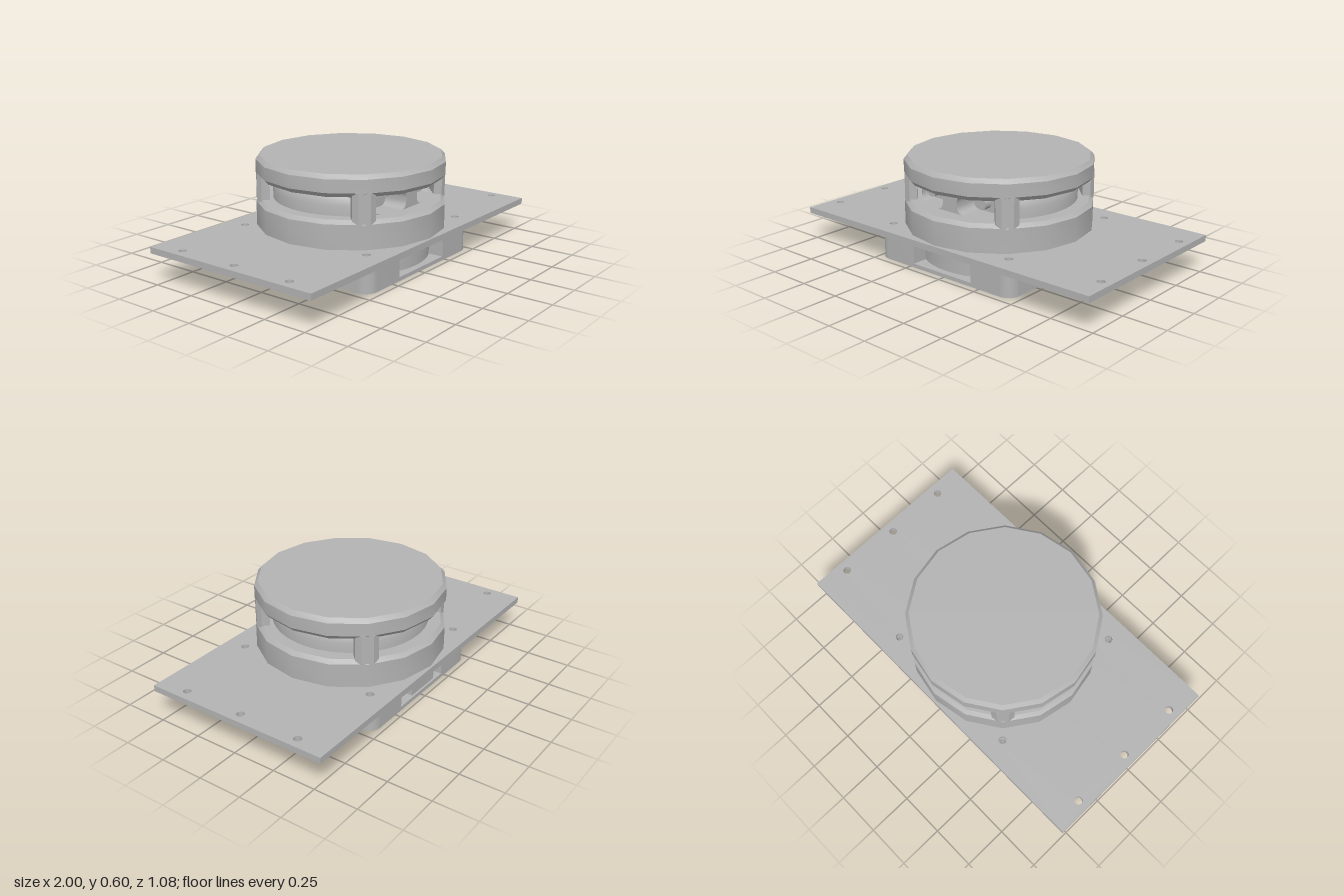
import * as THREE from 'three';
import { toCreasedNormals } from 'three/addons/utils/BufferGeometryUtils.js';

export function createModel() {
  const model = new THREE.Group();
  const grey = new THREE.MeshStandardMaterial({ color: 0xb3b3b3, side: THREE.DoubleSide });
  grey.name = 'plain grey';

  const add = (name, geometry, x = 0, y = 0, z = 0, crease = 0.5) => {
    const mesh = new THREE.Mesh(toCreasedNormals(geometry, crease), grey);
    mesh.name = name;
    mesh.position.set(x, y, z);
    model.add(mesh);
    return mesh;
  };
  const lathe = (pts, segments, start = 0, length = Math.PI * 2) =>
    new THREE.LatheGeometry(pts.map(p => new THREE.Vector2(...p)), segments, start, length);
  // Extrudes a plan shape upwards
  const slab = (shape, height) => new THREE.ExtrudeGeometry(shape,
    { depth: height, bevelEnabled: false, curveSegments: 10 }).rotateX(-Math.PI / 2);
  const hole = (x, y, r) => new THREE.Path().absarc(x, y, r, 0, Math.PI * 2, true);
  const polygon = pts => new THREE.Shape(pts.map(p => new THREE.Vector2(...p)));
  const signs = [[1, 1], [1, -1], [-1, -1], [-1, 1]];

  // Mounting plate with ten screw holes
  const plate = polygon([[-1, -0.54], [1, -0.54], [1, 0.54], [-1, 0.54]]);
  for (const s of [-1, 1]) {
    for (const z of [-0.36, 0, 0.36]) plate.holes.push(hole(s * 0.94, z, 0.022));
    for (const z of [-0.42, 0.42]) plate.holes.push(hole(s * 0.42, z, 0.022));
  }
  add('mountingPlate', slab(plate, 0.035), 0, 0.165);

  // Rounded square floor of the base
  const h = 0.477, r = 0.07;
  const floor = new THREE.Shape();
  floor.absarc(h - r, h - r, r, 0, Math.PI / 2);
  floor.absarc(r - h, h - r, r, Math.PI / 2, Math.PI);
  floor.absarc(r - h, r - h, r, Math.PI, Math.PI * 1.5);
  floor.absarc(h - r, r - h, r, Math.PI * 1.5, Math.PI * 2);
  floor.closePath();
  for (const [a, b] of signs) floor.holes.push(hole(a * 0.42, b * 0.42, 0.018));
  add('baseFloor', slab(floor, 0.022), 0, 0.008);

  // Corner blocks of the base
  const corner = new THREE.Shape();
  corner.moveTo(0.207, 0.207);
  corner.lineTo(h, 0.207);
  corner.absarc(h - r, h - r, r, 0, Math.PI / 2);
  corner.lineTo(0.207, h);
  corner.closePath();
  corner.holes.push(hole(0.42, 0.42, 0.018));
  for (let i = 0; i < 4; i++) {
    add('baseCorner', slab(corner, 0.135), 0, 0.03).rotation.y = i * Math.PI / 2;
  }

  // Round drum between the corner blocks and the rear socket
  add('baseDrum', new THREE.CylinderGeometry(0.44, 0.44, 0.135, 48), 0, 0.0975);
  add('rearSocket', new THREE.BoxGeometry(0.22, 0.075, 0.12), -0.03, 0.0675, -0.405);

  // Ring shaped feet
  for (const [a, b] of signs) {
    add('foot', lathe([[0.016, 0.01], [0.016, 0], [0.036, 0], [0.036, 0.01]], 20), a * 0.25, 0, b * 0.25);
  }

  // Sixteen sided housing: lower ring and cap
  add('lowerHousing', lathe([[0, 0.2], [0.527, 0.2], [0.527, 0.335], [0.505, 0.355], [0, 0.355]], 16));
  add('topCap', lathe([[0, 0.475], [0.505, 0.475], [0.527, 0.5], [0.527, 0.572], [0.506, 0.595], [0, 0.595]], 16));

  // Chamfered pillars on the diagonals, flaring into the rings
  const section = polygon([[-0.062, 0.455], [0.062, 0.455], [0.062, 0.5], [0.032, 0.524],
    [-0.032, 0.524], [-0.062, 0.5]]);
  for (let i = 0; i < 4; i++) {
    add('pillar', slab(section, 0.165), 0, 0.335).rotation.y = (i + 0.5) * Math.PI / 2;
  }

  // Sensor drum, open towards the front
  const gap = Math.atan2(0.338, 0.268);
  add('sensorDrum', lathe([[0.433, 0.335], [0.433, 0.41], [0.422, 0.45], [0.4, 0.476]], 48,
    gap, Math.PI * 2 - gap * 2));
  add('sensorBackWall', new THREE.BoxGeometry(0.676, 0.13, 0.03), 0, 0.41, 0.255);

  // Curved sensor face with two rounded slots
  const face = [];
  for (let i = 0; i <= 24; i++) face.push([-0.338 + 0.676 * i / 24, 0.345]);
  for (let i = 24; i >= 0; i--) face.push([-0.338 + 0.676 * i / 24, 0.47]);
  const slot = (x0, x1) => {
    const pts = [], c = 0.04;
    const ends = [[x1 - c, 0.415, 0], [x0 + c, 0.415, 1], [x0 + c, 0.395, 2], [x1 - c, 0.395, 3]];
    for (const [cx, cy, q] of ends) {
      for (let i = 0; i <= 6; i++) {
        const a = (q + i / 6) * Math.PI / 2;
        pts.push(new THREE.Vector2(cx + c * Math.cos(a), cy + c * Math.sin(a)));
      }
      // Extra points along the long edges so they follow the curve
      if (q % 2 === 0) {
        const to = q === 0 ? x0 + c : x1 - c;
        for (let i = 1; i < 6; i++) {
          pts.push(new THREE.Vector2(cx + (to - cx) * i / 6, q === 0 ? cy + c : cy - c));
        }
      }
    }
    return new THREE.Path(pts.reverse());
  };
  const faceShape = polygon(face);
  faceShape.holes.push(slot(-0.265, -0.05), slot(0.05, 0.325));
  const shell = new THREE.ExtrudeGeometry(faceShape, { depth: 1, bevelEnabled: false });
  const p = shell.attributes.position;
  for (let i = 0; i < p.count; i++) {
    const x = p.getX(i);
    p.setZ(i, p.getZ(i) > 0.5 ? Math.min(0.405, Math.sqrt(0.433 ** 2 - x * x)) : 0.262);
  }
  add('sensorFace', shell);

  // Lenses inside the slots
  for (const x of [-0.22, 0.14]) {
    add('lens', new THREE.CylinderGeometry(0.033, 0.033, 0.05, 24).rotateX(Math.PI / 2), x, 0.405, 0.29);
  }
  return model;
}
